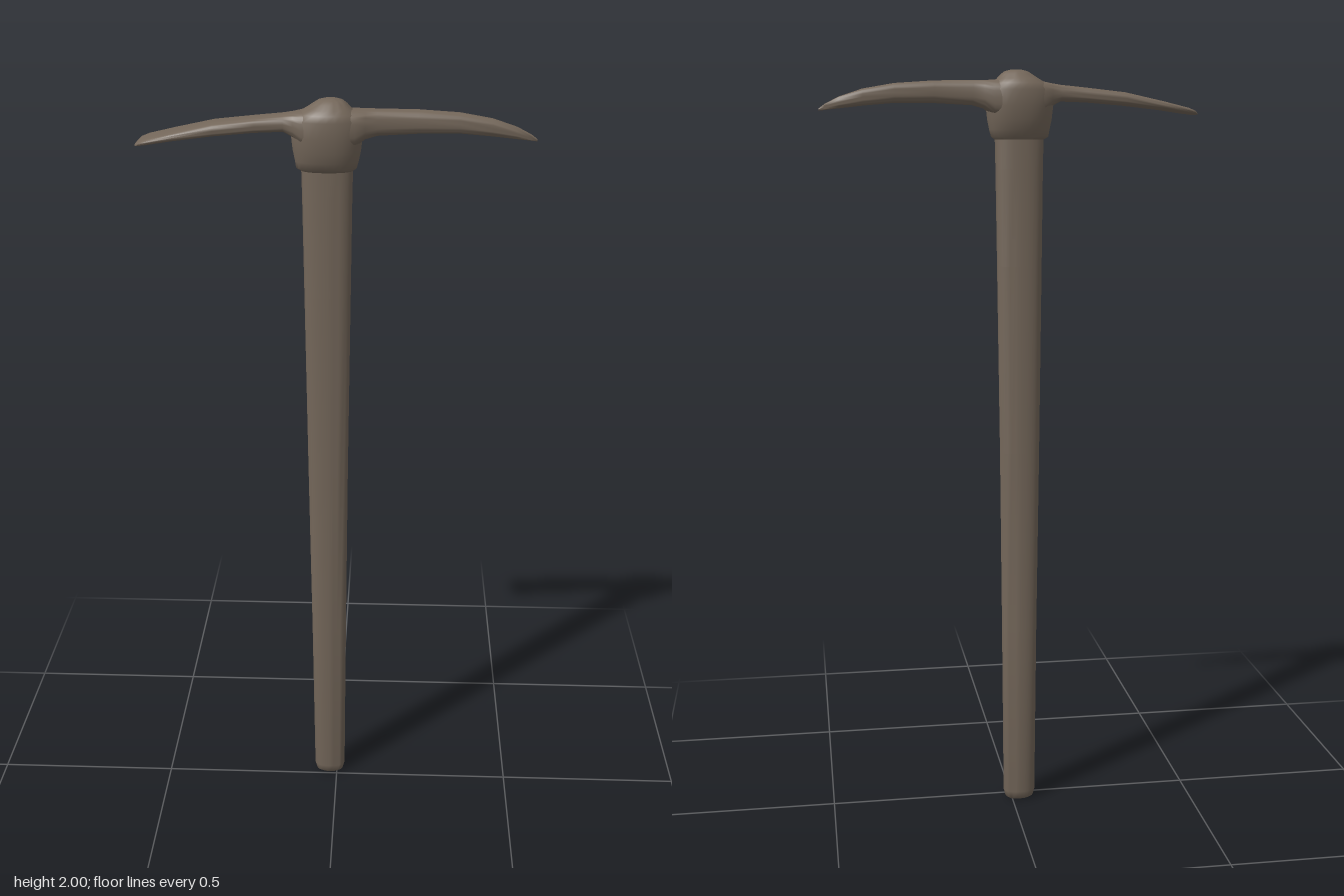
import * as THREE from 'three';
import { toCreasedNormals } from 'three/addons/utils/BufferGeometryUtils.js';

// Loft along 'y' or 'x'. Rows: [position, lowA, highA, lowZ, highZ],
// where A is x for a y loft and y for an x loft. Larger power = squarer section.
function loft(axis, rows, power = 2, sides = 28) {
  const pos = [], idx = [];
  const put = (s, a, z) => (axis === 'y' ? pos.push(a, s, z) : pos.push(s, a, z));
  const bend = v => Math.sign(v) * Math.pow(Math.abs(v), 2 / power);
  for (const [s, a0, a1, z0, z1] of rows) {
    for (let i = 0; i < sides; i++) {
      const t = (i / sides) * Math.PI * 2;
      const c = bend(Math.cos(t)), n = bend(Math.sin(t));
      const [u, w] = axis === 'y' ? [c, n] : [n, c];
      put(s, (a0 + a1) / 2 + u * (a1 - a0) / 2, (z0 + z1) / 2 + w * (z1 - z0) / 2);
    }
  }
  for (let r = 0; r < rows.length - 1; r++) {
    for (let i = 0; i < sides; i++) {
      const j = (i + 1) % sides, a = r * sides + i, b = r * sides + j;
      idx.push(a, a + sides, b, b, a + sides, b + sides);
    }
  }
  // End caps
  const first = rows[0], last = rows[rows.length - 1];
  const c0 = rows.length * sides, base = c0 - sides;
  for (const [s, a0, a1, z0, z1] of [first, last]) put(s, (a0 + a1) / 2, (z0 + z1) / 2);
  for (let i = 0; i < sides; i++) {
    const j = (i + 1) % sides;
    idx.push(c0, i, j, c0 + 1, base + j, base + i);
  }
  const g = new THREE.BufferGeometry();
  g.setAttribute('position', new THREE.Float32BufferAttribute(pos, 3));
  g.setIndex(idx);
  return toCreasedNormals(g, 0.9);
}

export function createModel() {
  const group = new THREE.Group();
  const brown = new THREE.MeshStandardMaterial({ color: 0x74675a });
  brown.name = 'weathered brown';
  const add = (name, geometry) => {
    const mesh = new THREE.Mesh(geometry, brown);
    mesh.name = name;
    group.add(mesh);
  };

  // Long oval shaft, widening and leaning slightly towards the head
  add('handle', loft('y', [
    [0, -0.05, 0.01, -0.046, -0.008],
    [0.006, -0.06, 0.018, -0.053, -0.002],
    [0.025, -0.065, 0.023, -0.056, 0],
    [0.5, -0.07, 0.026, -0.049, 0.007],
    [1.0, -0.077, 0.03, -0.043, 0.014],
    [1.5, -0.083, 0.036, -0.036, 0.023],
    [1.75, -0.086, 0.039, -0.032, 0.029],
    [1.85, -0.088, 0.041, -0.032, 0.032],
  ], 2.3));

  // Swollen socket with a lower lip and domed crown
  add('socket', loft('y', [
    [1.825, -0.088, 0.041, -0.033, 0.033],
    [1.832, -0.1, 0.05, -0.038, 0.04],
    [1.85, -0.103, 0.055, -0.046, 0.047],
    [1.875, -0.108, 0.06, -0.054, 0.055],
    [1.91, -0.112, 0.064, -0.059, 0.058],
    [1.95, -0.11, 0.064, -0.061, 0.06],
    [1.966, -0.095, 0.052, -0.057, 0.056],
    [1.977, -0.075, 0.036, -0.046, 0.046],
    [1.988, -0.058, 0.026, -0.035, 0.034],
    [1.996, -0.045, 0.015, -0.026, 0.024],
    [2.0, -0.03, 0.0, -0.014, 0.012],
  ], 2.2));

  // Tapered, drooping spike on the left
  add('pickPoint', loft('x', [
    [0.0, 1.88, 1.976, -0.052, 0.05],
    [0.045, 1.885, 1.975, -0.05, 0.046],
    [0.07, 1.903, 1.974, -0.041, 0.033],
    [0.1, 1.911, 1.974, -0.034, 0.023],
    [0.2, 1.916, 1.972, -0.035, 0.016],
    [0.3, 1.916, 1.965, -0.036, 0.008],
    [0.38, 1.909, 1.951, -0.034, 0.002],
    [0.44, 1.902, 1.931, -0.03, -0.006],
    [0.475, 1.898, 1.913, -0.026, -0.013],
    [0.49, 1.896, 1.902, -0.022, -0.017],
  ], 3));

  // Flat, flaring blade on the right
  add('adzeBlade', loft('x', [
    [-0.49, 1.888, 1.894, -0.028, 0.043],
    [-0.483, 1.889, 1.9, -0.039, 0.053],
    [-0.465, 1.891, 1.907, -0.045, 0.058],
    [-0.4, 1.9, 1.923, -0.043, 0.055],
    [-0.3, 1.911, 1.945, -0.04, 0.048],
    [-0.2, 1.919, 1.956, -0.036, 0.041],
    [-0.13, 1.921, 1.963, -0.033, 0.034],
    [-0.105, 1.908, 1.967, -0.037, 0.038],
    [-0.085, 1.89, 1.971, -0.048, 0.048],
    [-0.04, 1.88, 1.975, -0.052, 0.05],
  ], 3.2));

  return group;
}
